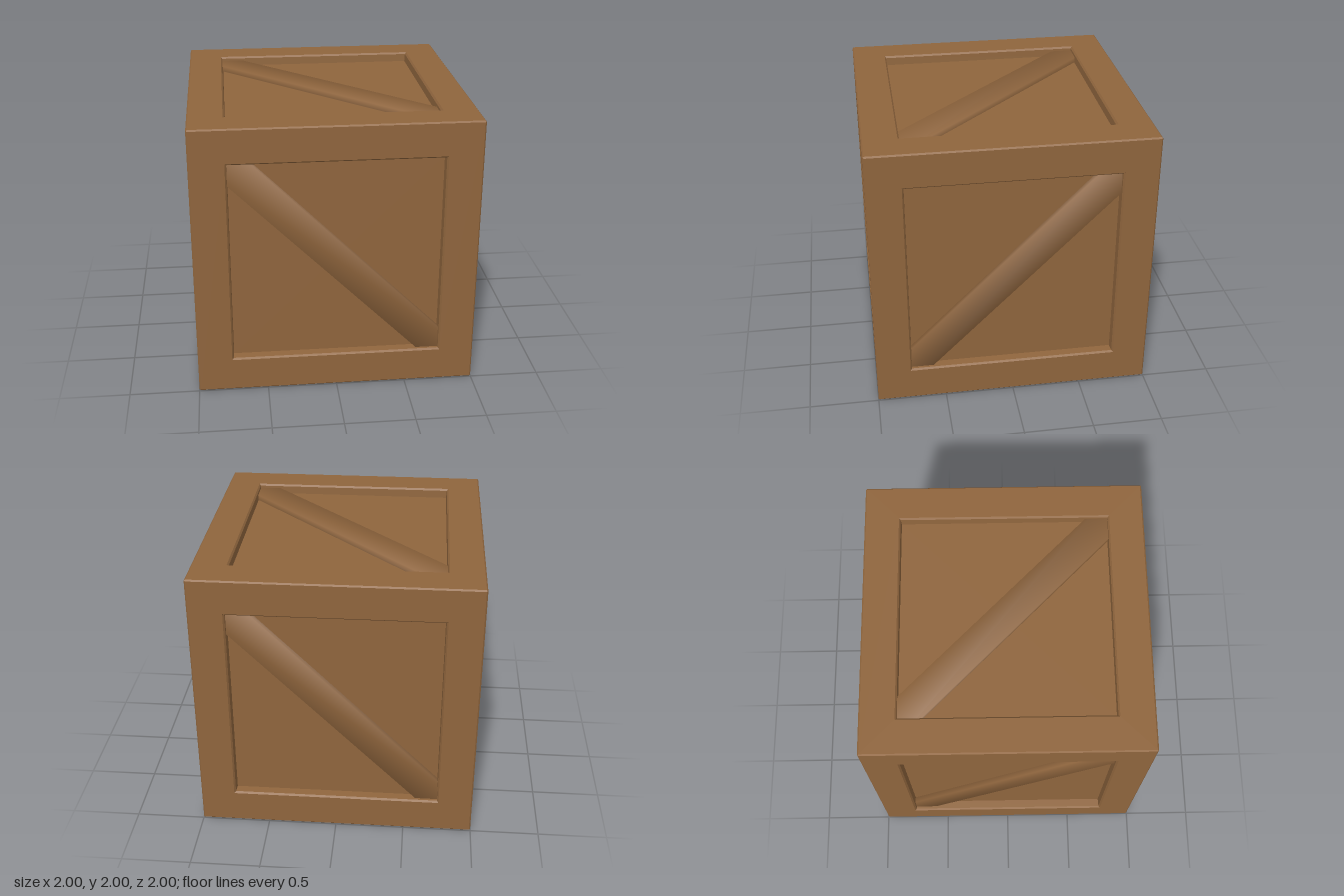
import * as THREE from 'three';

const wood = new THREE.MeshStandardMaterial({ color: 0x8f653d });
wood.name = 'brown wood';

// Square rim of one side: outer chamfer, flat border, inner bevel and recess wall
function rimGeometry() {
  const profile = [[0.995, 0.995], [0.99, 1], [0.755, 1], [0.744, 0.987], [0.74, 0.93]]
    .map(([half, depth]) => new THREE.Vector2(half * Math.SQRT2, depth));
  const geo = new THREE.LatheGeometry(profile, 4, Math.PI / 4).toNonIndexed();
  geo.rotateX(Math.PI / 2);
  geo.computeVertexNormals();
  return geo;
}

// Diagonal plank whose normals lean outward at the corners for a soft look
function braceGeometry() {
  const geo = new THREE.BoxGeometry(2.34, 0.226, 0.1);
  const pos = geo.attributes.position;
  const n = new THREE.Vector3();
  for (let i = 0; i < pos.count; i++) {
    n.set(Math.sign(pos.getX(i)) * 0.4, Math.sign(pos.getY(i)) * 0.5, Math.sign(pos.getZ(i)));
    n.normalize();
    geo.attributes.normal.setXYZ(i, n.x, n.y, n.z);
  }
  return geo;
}

export function createModel() {
  const crate = new THREE.Group();
  crate.name = 'crate';

  const rim = rimGeometry();
  const panel = new THREE.PlaneGeometry(1.48, 1.48);
  const brace = braceGeometry();

  // Name, rotation about x, rotation about y, brace slope
  const sides = [
    ['front', 0, 0, -1],
    ['back', 0, Math.PI, -1],
    ['left', 0, Math.PI / 2, 1],
    ['right', 0, -Math.PI / 2, 1],
    ['top', -Math.PI / 2, 0, -1],
    ['bottom', Math.PI / 2, 0, -1],
  ];

  for (const [name, rx, ry, slope] of sides) {
    const side = new THREE.Group();
    side.name = name + 'Side';
    side.position.y = 1;
    side.rotation.set(rx, ry, 0);

    const add = (part, geo, z) => {
      const mesh = new THREE.Mesh(geo, wood);
      mesh.name = name + part;
      mesh.position.z = z;
      side.add(mesh);
      return mesh;
    };
    add('Frame', rim, 0);
    add('Panel', panel, 0.93);
    add('Brace', brace, 0.92).rotation.z = slope * Math.PI / 4;
    crate.add(side);
  }
  return crate;
}
